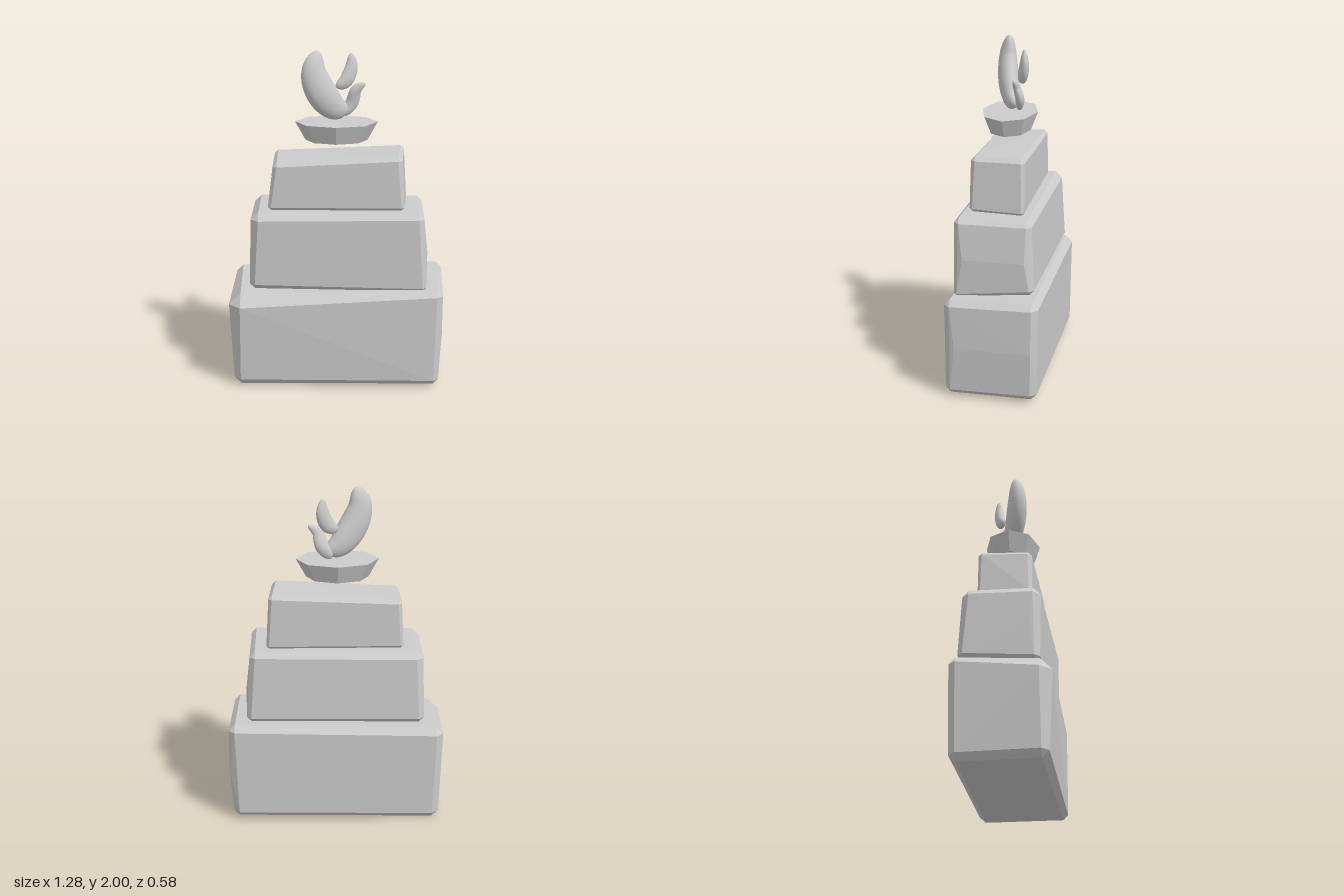
import * as THREE from 'three';
import { ConvexGeometry } from 'three/addons/geometries/ConvexGeometry.js';
import { mergeVertices } from 'three/addons/utils/BufferGeometryUtils.js';

const V = (x, y, z) => new THREE.Vector3(x, y, z);
const grey = new THREE.MeshStandardMaterial({ color: 0xcccccc });
const faceted = new THREE.MeshStandardMaterial({ color: 0xcccccc, flatShading: true });

function named(name, geometry, material) {
  const mesh = new THREE.Mesh(geometry, material);
  mesh.name = name;
  return mesh;
}

// Uneven block: each corner [x, y, z, bevel] is cut back on its three faces.
function stone(name, corners, extra = []) {
  const midY = corners.reduce((sum, c) => sum + c[1], 0) / corners.length;
  const points = extra.map((p) => V(...p));
  for (const [x, y, z, b] of corners) {
    const bx = b * Math.sign(x), by = b * Math.sign(y - midY), bz = b * Math.sign(z);
    points.push(V(x, y - by, z - bz), V(x - bx, y, z - bz), V(x - bx, y - by, z));
  }
  return named(name, new ConvexGeometry(points), faceted);
}

// Flame lobe: a sphere bent along a spine from tip to base, flattened in depth.
function flame(name, spine, tipWidth, baseWidth, depth, turn) {
  const curve = new THREE.CatmullRomCurve3(spine.map((p) => V(...p)));
  const N = V(Math.sin(turn), 0, Math.cos(turn));
  let geometry = new THREE.SphereGeometry(1, 32, 32);
  geometry.deleteAttribute('uv');
  geometry.deleteAttribute('normal');
  geometry = mergeVertices(geometry, 1e-5);
  const pos = geometry.attributes.position;
  for (let i = 0; i < pos.count; i++) {
    const t = THREE.MathUtils.clamp((1 - pos.getY(i)) / 2, 0, 1);
    const width = THREE.MathUtils.lerp(tipWidth, baseWidth, t);
    const side = curve.getTangentAt(t).negate().cross(N).normalize();
    const p = curve.getPointAt(t)
      .addScaledVector(side, pos.getX(i) * width)
      .addScaledVector(N, pos.getZ(i) * depth * width / baseWidth);
    pos.setXYZ(i, p.x, p.y, p.z);
  }
  geometry.computeVertexNormals();
  return named(name, geometry, grey);
}

export function createModel() {
  const model = new THREE.Group();
  model.name = 'stoneBrazier';

  // Stacked stones, corners listed front left, front right, back left, back right
  model.add(stone('lowerStone', [
    [-0.62, 0.005, 0.265, 0.04], [0.605, 0.015, 0.262, 0.03],
    [-0.62, 0, -0.28, 0.04], [0.62, 0.02, -0.28, 0.035],
    [-0.645, 0.58, 0.288, 0.07], [0.625, 0.61, 0.262, 0.035],
    [-0.637, 0.6, -0.285, 0.04], [0.638, 0.625, -0.288, 0.035],
  ], [[0.64, 0.32, -0.25], [0.625, 0.32, 0.2]]));

  model.add(stone('middleStone', [
    [-0.52, 0.6, 0.21, 0.03], [0.525, 0.597, 0.225, 0.02],
    [-0.52, 0.63, -0.255, 0.03], [0.528, 0.64, -0.245, 0.025],
    [-0.51, 1.07, 0.215, 0.045], [0.508, 1.07, 0.225, 0.03],
    [-0.512, 1.07, -0.235, 0.04], [0.506, 1.07, -0.226, 0.03],
  ], [[0.53, 0.83, 0.17], [0.53, 0.83, -0.19], [-0.518, 0.83, 0.15]]));

  model.add(stone('upperStone', [
    [-0.41, 1.075, 0.157, 0.018], [0.392, 1.075, 0.158, 0.018],
    [-0.395, 1.075, -0.162, 0.015], [0.408, 1.075, -0.165, 0.015],
    [-0.38, 1.36, 0.153, 0.024], [0.378, 1.4, 0.152, 0.025],
    [-0.383, 1.368, -0.16, 0.02], [0.392, 1.4, -0.163, 0.02],
  ]));

  // Floating eight-sided bowl
  const bowl = named('bowl', new THREE.CylinderGeometry(1, 0.75, 0.11, 8), faceted);
  bowl.scale.set(0.243, 1, 0.165);
  bowl.position.set(-0.01, 1.522, 0);
  model.add(bowl);

  // Flames
  model.add(flame('largeFlame', [
    [-0.12, 2.0, 0.025], [-0.14, 1.88, 0.04], [-0.1, 1.76, 0.03],
    [-0.025, 1.665, 0], [0.055, 1.63, -0.035],
  ], 0.08, 0.1, 0.066, 0.38));
  model.add(flame('smallFlame', [
    [0.075, 1.965, -0.1], [0.075, 1.88, -0.1], [0.045, 1.805, -0.085], [-0.012, 1.768, -0.062],
  ], 0.035, 0.052, 0.034, 0.4));
  model.add(flame('sideFlame', [
    [0.157, 1.795, -0.055], [0.105, 1.755, -0.06], [0.08, 1.675, -0.075], [0.025, 1.6, -0.06],
  ], 0.033, 0.045, 0.03, 0.25));

  return model;
}
